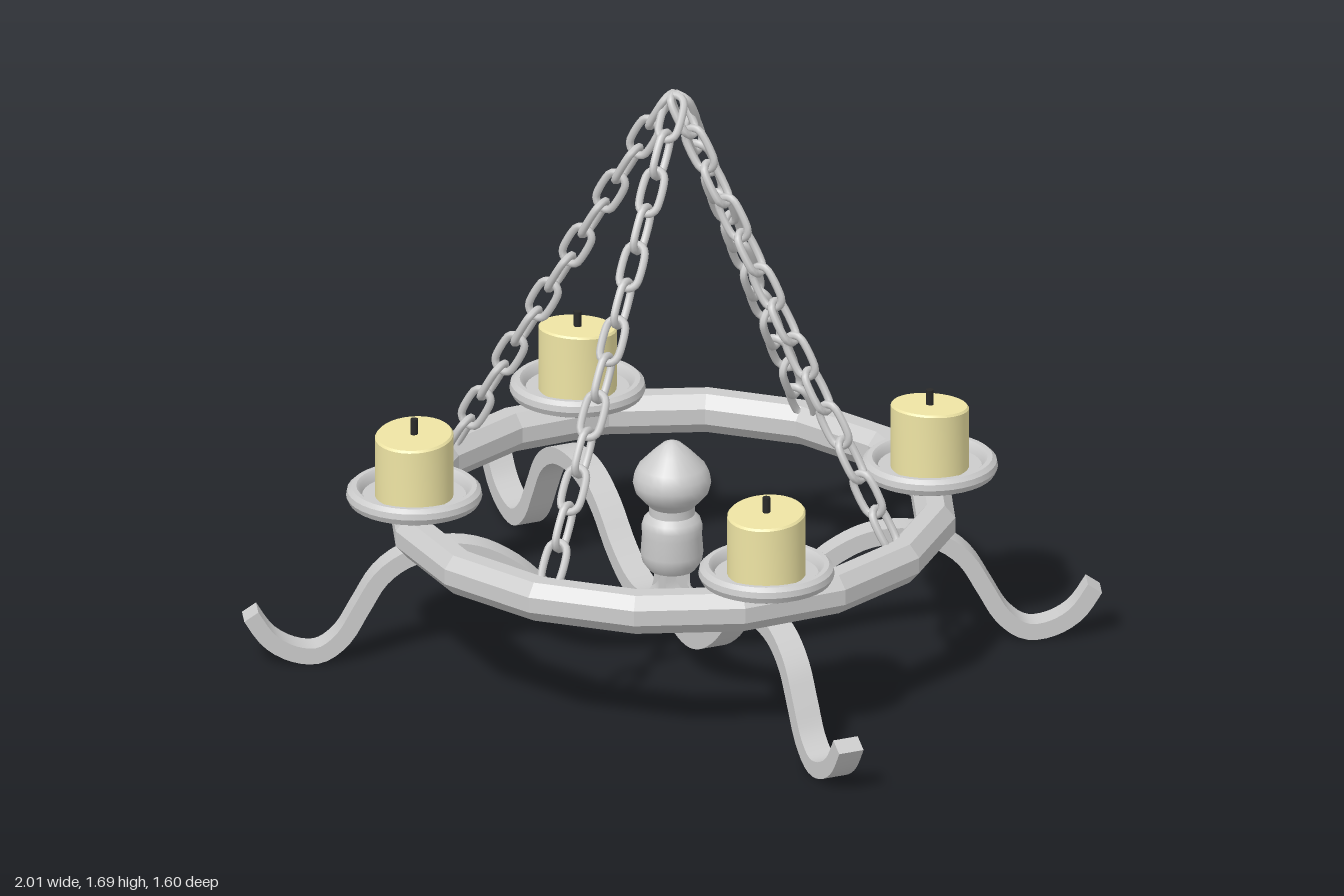
import * as THREE from 'three';
import { toCreasedNormals } from 'three/addons/utils/BufferGeometryUtils.js';

const iron = new THREE.MeshStandardMaterial({ color: 0xcccccc });
const ironFlat = new THREE.MeshStandardMaterial({ color: 0xcccccc, flatShading: true });
const wax = new THREE.MeshStandardMaterial({ color: 0xeee4a4 });
const wickMaterial = new THREE.MeshStandardMaterial({ color: 0x2a2a2a });

const vec2s = (pairs) => pairs.map(([x, y]) => new THREE.Vector2(x, y));

function part(name, geometry, material, parent) {
  const mesh = new THREE.Mesh(geometry, material);
  mesh.name = name;
  parent.add(mesh);
  return mesh;
}

const lathe = (pairs, sides) => toCreasedNormals(new THREE.LatheGeometry(vec2s(pairs), sides), 0.6);

// Flat bar following an S-curve, drawn in the (radius, height) plane
function armGeometry() {
  const path = new THREE.SplineCurve(vec2s([
    [0.012, 0.26], [0.022, 0.19], [0.07, 0.132], [0.16, 0.11], [0.25, 0.128], [0.345, 0.185],
    [0.44, 0.27], [0.54, 0.324], [0.64, 0.337], [0.74, 0.318], [0.82, 0.26], [0.875, 0.17],
    [0.925, 0.085], [0.99, 0.036], [1.065, 0.042], [1.135, 0.085], [1.185, 0.158],
  ]));
  const upper = [], lower = [], steps = 56, half = 0.024;
  for (let i = 0; i <= steps; i++) {
    const p = path.getPoint(i / steps), t = path.getTangent(i / steps);
    const n = new THREE.Vector2(-t.y, t.x).multiplyScalar(half);
    upper.push(p.clone().add(n));
    lower.push(p.clone().sub(n));
  }
  const shape = new THREE.Shape([...lower, ...upper.reverse()]);
  const geometry = new THREE.ExtrudeGeometry(shape, { depth: 0.075, bevelEnabled: false });
  geometry.translate(0, 0, -0.0375);
  return toCreasedNormals(geometry, 0.6);
}

// Oval chain link, long along y
function linkGeometry() {
  const points = [], r = 0.03, straight = 0.034;
  for (let i = 0; i < 12; i++) {
    const a = ((i + 0.5) / 12) * Math.PI * 2;
    points.push(new THREE.Vector3(Math.cos(a) * r, Math.sin(a) * r + Math.sign(Math.sin(a)) * straight, 0));
  }
  return new THREE.TubeGeometry(new THREE.CatmullRomCurve3(points, true), 28, 0.0115, 7, true);
}

// Candle body whose top slopes down towards its +z side
function candleGeometry() {
  const geometry = lathe([[0, 0.51], [0.11, 0.51], [0.11, 0.694], [0.105, 0.7], [0, 0.7]], 32);
  const pos = geometry.attributes.position;
  for (let i = 0; i < pos.count; i++) {
    if (pos.getY(i) > 0.6) pos.setY(i, pos.getY(i) - pos.getZ(i) * 0.1);
  }
  return geometry;
}

export function createModel() {
  const model = new THREE.Group();
  model.name = 'chandelier';

  // Sixteen-sided hoop with chamfered edges
  part('hoop', new THREE.LatheGeometry(vec2s([
    [0.77, 0.365], [0.8, 0.4], [0.8, 0.445], [0.77, 0.48], [0.72, 0.48],
    [0.69, 0.445], [0.69, 0.4], [0.72, 0.365], [0.77, 0.365],
  ]), 16), ironFlat, model);

  // Turned centre piece
  part('finial', lathe([
    [0, 0.25], [0.066, 0.25], [0.084, 0.275], [0.088, 0.3], [0.084, 0.355], [0.086, 0.38],
    [0.08, 0.4], [0.064, 0.415], [0.064, 0.44], [0.085, 0.462], [0.104, 0.485], [0.11, 0.51],
    [0.106, 0.535], [0.094, 0.56], [0.055, 0.6], [0.025, 0.627], [0, 0.637],
  ], 24), iron, model);
  part('finialStem', new THREE.CylinderGeometry(0.035, 0.02, 0.1, 16).translate(0, 0.205, 0), iron, model);

  // Four arms and four candle holders, one per corner
  const armShape = armGeometry();
  const candleShape = candleGeometry();
  const dishShape = lathe([
    [0, 0.49], [0.165, 0.49], [0.183, 0.498], [0.191, 0.515], [0.188, 0.532], [0.176, 0.543],
    [0.162, 0.543], [0.153, 0.535], [0.146, 0.515], [0, 0.515],
  ], 36);
  for (const sx of [1, -1]) {
    for (const sz of [1, -1]) {
      const arm = part('arm', armShape, iron, model);
      arm.rotation.y = -Math.atan2(sz * 0.706, sx);

      const holder = new THREE.Group();
      holder.name = 'candleHolder';
      holder.position.set(sx * 0.57, 0, sz * 0.455);
      if (sz < 0) holder.rotation.y = Math.PI;
      model.add(holder);
      part('dish', dishShape, iron, holder);
      part('dishCollar', new THREE.CylinderGeometry(0.04, 0.04, 0.016, 16).translate(0, 0.484, 0), iron, holder);
      part('dishPeg', new THREE.CylinderGeometry(0.018, 0.018, 0.04, 12).translate(0, 0.464, 0), iron, holder);
      part('candle', candleShape, wax, holder);
      part('wick', new THREE.CylinderGeometry(0.011, 0.011, 0.055, 10).translate(0, 0.717, 0), wickMaterial, holder);
    }
  }

  // Four chains from the apex to the hoop, links turned a quarter each time
  const linkShape = linkGeometry();
  const lean = Math.atan2(0.7, 1.2);
  for (let c = 0; c < 4; c++) {
    const turn = new THREE.Group();
    turn.name = 'chain';
    turn.rotation.y = (c * Math.PI) / 2;
    turn.position.set(c % 2 ? 0.018 : 0, 1.69, 0);
    model.add(turn);
    const slope = new THREE.Group();
    slope.name = 'chainSlope';
    slope.rotation.z = lean;
    turn.add(slope);
    for (let i = 0; i < 13; i++) {
      const link = part('link', linkShape, iron, slope);
      link.position.y = -0.07 - 0.108 * i;
      link.rotation.y = i % 2 ? 0 : Math.PI / 2;
    }
  }
  return model;
}
